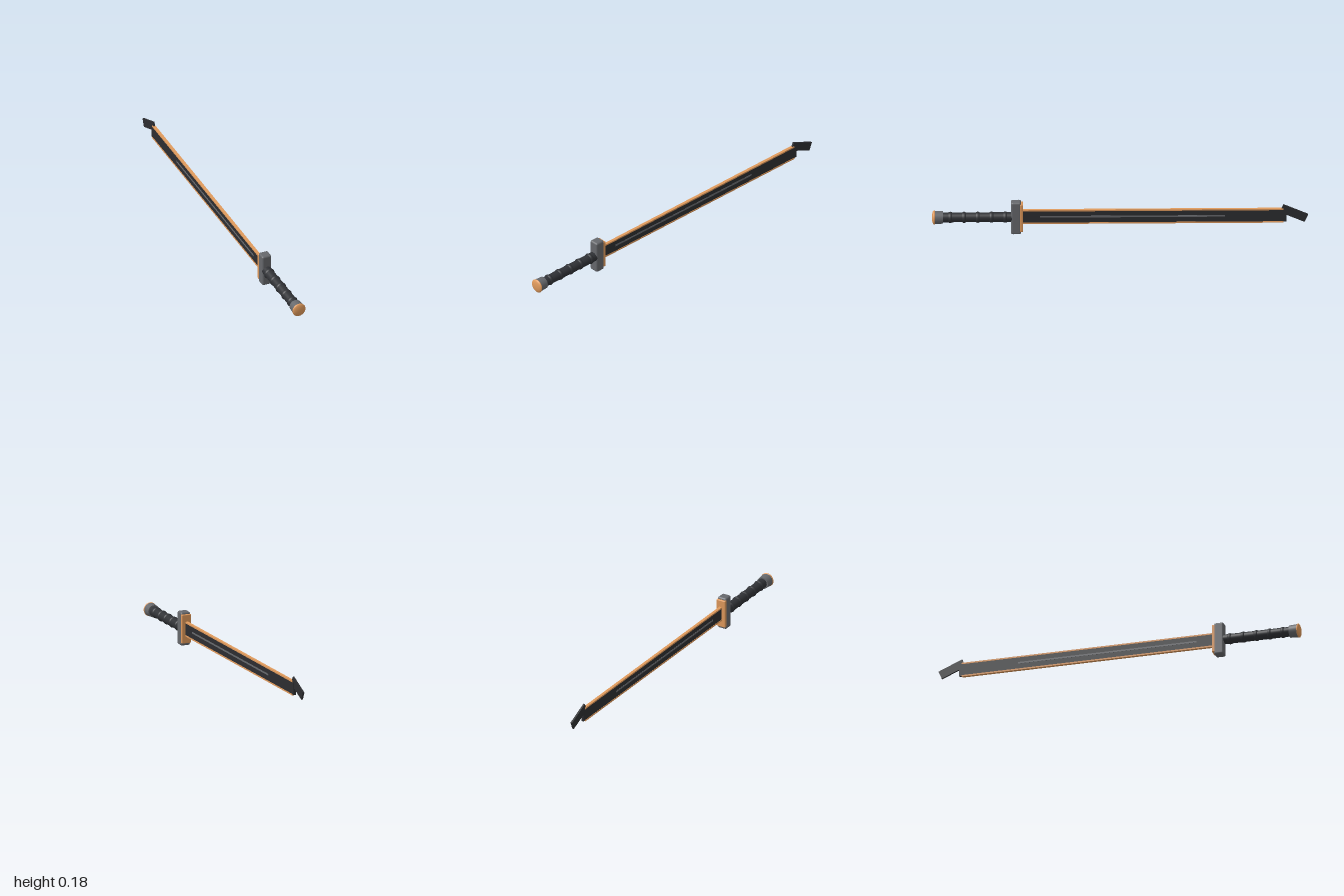
import * as THREE from 'three';
import { RoundedBoxGeometry } from 'three/addons/geometries/RoundedBoxGeometry.js';

const AXIS_Y = 0.092; // height of the sword's long axis

export function createModel() {
  const sword = new THREE.Group();
  sword.name = 'sword';
  const mat = (color) => new THREE.MeshStandardMaterial({ color });
  const copper = mat(0xe09a5c), steel = mat(0x66686c), dark = mat(0x2c2d30), wrap = mat(0x303236);

  // y is measured from the long axis
  const add = (name, geometry, material, y, z, x = 0) => {
    const mesh = new THREE.Mesh(geometry, material);
    mesh.name = name;
    mesh.position.set(x, AXIS_Y + y, z);
    sword.add(mesh);
    return mesh;
  };
  const rod = (rFront, rBack, length) =>
    new THREE.CylinderGeometry(rFront, rBack, length, 32).rotateX(Math.PI / 2);
  const box = (w, h, d) => new THREE.BoxGeometry(w, h, d);

  // Pommel: steel collar with a shallow copper dome
  add('pommelCollar', rod(0.036, 0.033, 0.05), steel, 0, 0.965);
  add('pommelCap', new THREE.SphereGeometry(0.038, 32, 16).scale(1, 1, 0.32), copper, 0, 0.988);

  // Grip with raised wrap rings
  add('grip', rod(0.026, 0.026, 0.37), wrap, 0, 0.757);
  for (let i = 0; i < 5; i++) {
    add('gripRing', new THREE.TorusGeometry(0.021, 0.009, 10, 32).scale(1, 1, 1.4), wrap, 0, 0.61 + i * 0.073);
  }

  // Guard and its copper face plate
  add('guard', new RoundedBoxGeometry(0.054, 0.183, 0.054, 3, 0.01), steel, 0, 0.553);
  add('guardPlate', new RoundedBoxGeometry(0.054, 0.157, 0.018, 2, 0.004), copper, 0.002, 0.524);

  // Blade with copper edge strips along the top and bottom
  add('blade', box(0.013, 0.07, 1.405), dark, 0.002, -0.182);
  for (const side of [-1, 1]) {
    add('bladeEdge', box(0.016, 0.008, 1.39), copper, 0.002 + side * 0.036, -0.175);
    add('fuller', box(0.003, 0.009, 0.985), steel, 0.003, -0.066, side * 0.0065);
  }

  // Slanted tip
  add('bladeTip', box(0.01, 0.047, 0.143), dark, 0.014, -0.925).rotation.x = -0.405;

  return sword;
}
